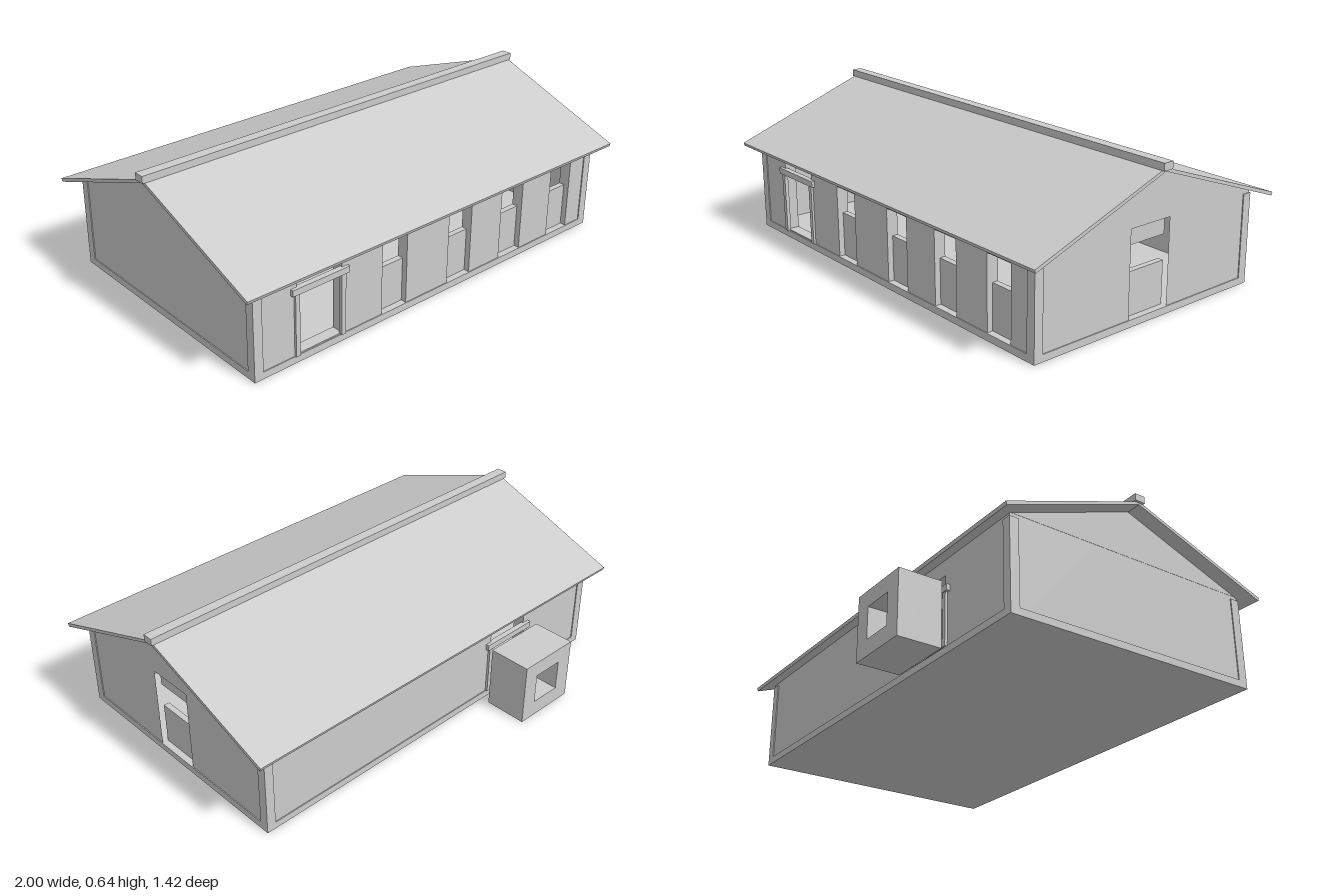
import * as THREE from 'three';

export function createModel() {
  const model = new THREE.Group();
  model.name = 'longhouse';
  const plaster = new THREE.MeshStandardMaterial({ color: 0xcccccc });
  plaster.name = 'pale grey';

  const add = (name, geometry) => {
    const mesh = new THREE.Mesh(geometry, plaster);
    mesh.name = name;
    model.add(mesh);
    return mesh;
  };
  // Box given by its minimum and maximum corners
  const box = (name, x0, x1, y0, y1, z0, z1) => {
    const mesh = add(name, new THREE.BoxGeometry(x1 - x0, y1 - y0, z1 - z0));
    mesh.position.set((x0 + x1) / 2, (y0 + y1) / 2, (z0 + z1) / 2);
    return mesh;
  };
  const polygon = (points) => new THREE.Shape(points.map(([a, b]) => new THREE.Vector2(a, b)));
  // Upright slab with rectangular holes [a0, a1, b0, b1]
  const slab = (points, holes, depth) => {
    const shape = polygon(points);
    holes.forEach(([a0, a1, b0, b1]) => {
      shape.holes.push(new THREE.Path([[a0, b0], [a0, b1], [a1, b1], [a1, b0]]
        .map(([a, b]) => new THREE.Vector2(a, b))));
    });
    return new THREE.ExtrudeGeometry(shape, { depth, bevelEnabled: false });
  };
  // Profile drawn as (z, y), extruded along x from x0 to x1
  const alongX = (points, holes, x0, x1) => {
    const flipped = points.map(([z, y]) => [-z, y]);
    const cuts = holes.map(([z0, z1, y0, y1]) => [-z1, -z0, y0, y1]);
    return slab(flipped, cuts, x1 - x0).rotateY(Math.PI / 2).translate(x0, 0, 0);
  };

  const W = 0.925, FRONT = 0.65, BACK = -0.483, T = 0.05;
  const RIDGE = 0.085, WALL = 0.4;

  // Floor
  box('floor', -W + 0.01, W - 0.01, 0, 0.03, BACK + 0.01, FRONT - 0.01);

  // Long walls with window and door openings
  const long = [[-W, 0], [W, 0], [W, WALL], [-W, WALL]];
  const windows = [[-0.31, -0.18], [0.05, 0.18], [0.36, 0.49], [0.67, 0.8]];
  const openings = windows.map(([a, b]) => [a, b, 0.03, 0.34]);
  add('frontWall', slab(long, [[-0.73, -0.515, 0.035, 0.37], ...openings], T)
    .translate(0, 0, FRONT - T));
  add('backWall', slab(long, [[-0.52, -0.31, 0.035, 0.33]], T).translate(0, 0, BACK));

  // Recessed parapets below the front windows
  windows.forEach(([a, b]) => box('windowParapet', a, b, 0, 0.22, FRONT - T, FRONT - 0.025));

  // End walls with gables
  const gable = [[FRONT - T, 0], [FRONT - T, WALL], [RIDGE, 0.6], [BACK + T, WALL], [BACK + T, 0]];
  add('rightEndWall', alongX(gable, [], -W, -W + T));
  add('leftEndWall', alongX(gable, [[-0.02, 0.185, 0.03, 0.39]], W - T, W));
  // Gable corners above the long walls
  [-1, 1].forEach((s) => {
    const x = s * (W - T / 2);
    add('gable', alongX([[FRONT, WALL], [RIDGE, 0.603], [BACK, WALL]], [],
      x - T / 2 - 0.001, x + T / 2 + 0.001));
  });
  box('sideParapet', W - T, W - 0.025, 0, 0.21, -0.02, 0.185);
  box('sideLintel', W - T, W - 0.025, 0.315, 0.4, -0.02, 0.185);

  // Roof slopes
  const t = 0.014;
  add('frontRoof', alongX([[RIDGE, 0.617 - t], [RIDGE, 0.617], [0.71, 0.39], [0.705, 0.376]], [], -0.99, 0.99));
  add('backRoof', alongX([[RIDGE, 0.617 - t], [RIDGE, 0.617], [-0.547, 0.39], [-0.542, 0.376]], [], -0.99, 0.99));
  box('ridgeBeam', -1, 1, 0.61, 0.64, 0.06, 0.106);

  // Corner posts and plinth strips, just proud of the walls
  const P = 0.004;
  [-1, 1].forEach((s) => [BACK, FRONT].forEach((z) => {
    const x = s * (W - 0.016), zc = z === FRONT ? z - 0.016 : z + 0.016;
    box('cornerPost', x - 0.02, x + 0.02, 0, 0.385, zc - 0.02, zc + 0.02);
  }));
  box('frontPlinth', -W, W, 0, 0.03, FRONT - 0.02, FRONT + P);
  box('backPlinth', -W, W, 0, 0.03, BACK - P, BACK + 0.02);
  box('rightPlinth', -W - P, -W + 0.02, 0, 0.03, BACK, FRONT);
  box('leftPlinth', W - 0.02, W + P, 0, 0.03, BACK, FRONT);

  // Door frames, front and back
  const doorFrame = (name, xc, top, z) => {
    box(name + 'Lintel', xc - 0.135, xc + 0.135, top - 0.026, top, z - 0.012, z + 0.012);
    [-1, 1].forEach((s) => {
      const x = xc + s * 0.11;
      box(name + 'Post', x - 0.01, x + 0.01, 0.03, top - 0.026, z - 0.008, z + 0.008);
    });
  };
  doorFrame('frontDoor', -0.622, 0.319, FRONT + 0.002);
  doorFrame('backDoor', -0.415, 0.278, BACK - 0.003);

  // Rail with short hangers inside the hall
  box('hallRail', -0.3, 0.85, 0.315, 0.345, 0.07, 0.1);
  [-0.28, 0.08, 0.15, 0.39, 0.46, 0.7, 0.77].forEach((x) =>
    box('railHanger', x - 0.015, x + 0.015, 0.285, 0.32, 0.07, 0.1));

  // Thick hollow porch block standing behind the back door
  add('backPorch', slab([[-0.56, 0], [-0.272, 0], [-0.272, 0.275], [-0.56, 0.275]],
    [[-0.485, -0.345, 0.07, 0.205]], 0.187).translate(0, 0, -0.712));

  return model;
}
